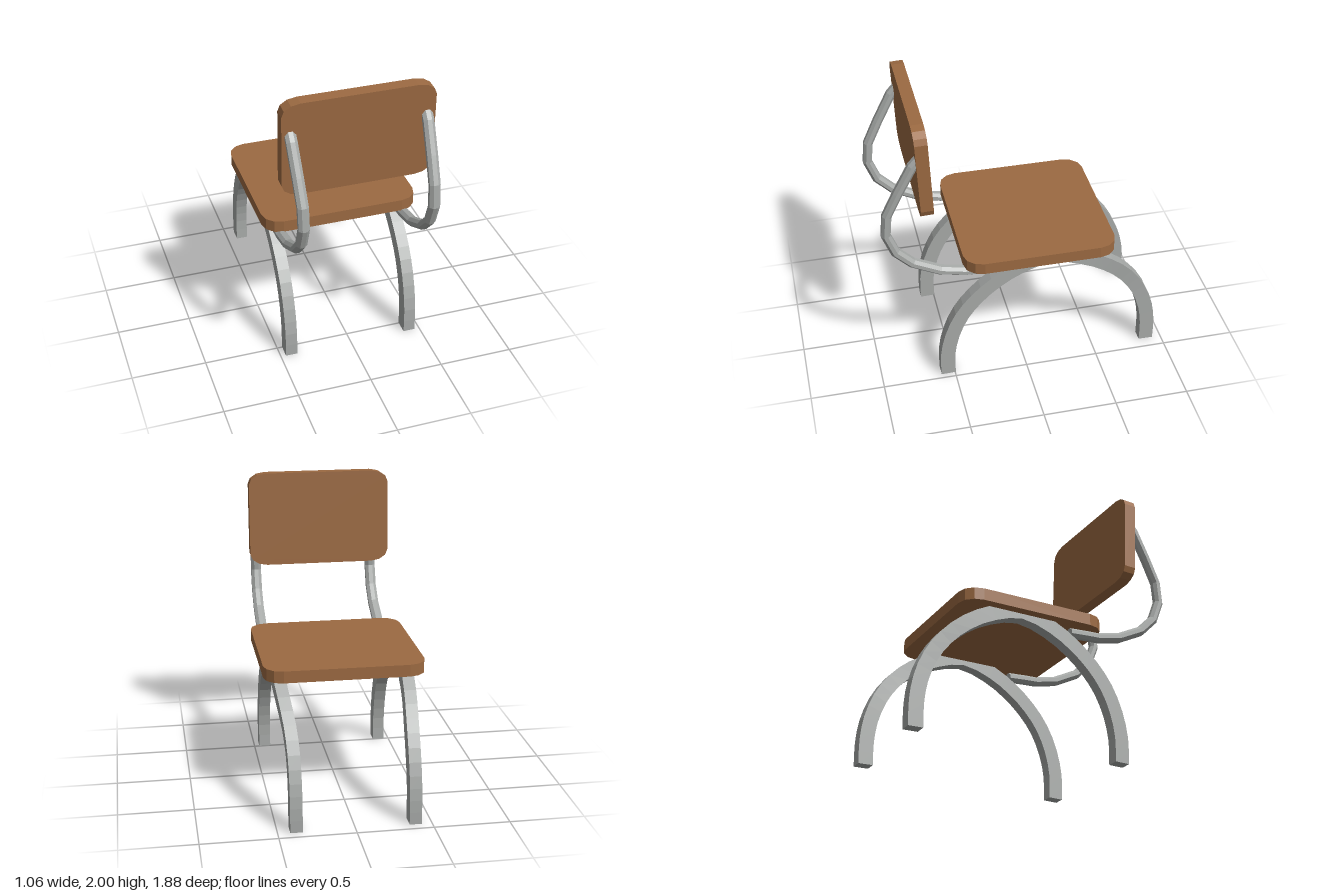
import * as THREE from 'three';

const wood = new THREE.MeshStandardMaterial({ color: 0x9c6a42, flatShading: true });
wood.name = 'wood';
const metal = new THREE.MeshStandardMaterial({ color: 0xa8aba9, flatShading: true });
metal.name = 'grey metal';

// Flat board with faceted rounded corners, centred on the origin, thickness along z
function board(width, height, depth, cornerX, cornerY) {
  const points = [];
  for (let q = 0; q < 4; q++) {
    const sx = q === 0 || q === 3 ? 1 : -1;
    const sy = q < 2 ? 1 : -1;
    for (let i = 0; i <= 3; i++) {
      const a = (q + i / 3) * Math.PI / 2;
      points.push(new THREE.Vector2(
        sx * (width / 2 - cornerX) + cornerX * Math.cos(a),
        sy * (height / 2 - cornerY) + cornerY * Math.sin(a)));
    }
  }
  const geometry = new THREE.ExtrudeGeometry(new THREE.Shape(points), { depth, bevelEnabled: false });
  return geometry.translate(0, 0, -depth / 2);
}

// Polygon bar swept along a path of [x, y, z] vectors, with closed ends
function bar(path, sides, halfWidth, halfHeight) {
  const positions = [], index = [];
  path.forEach((p, i) => {
    const a = path[Math.max(i - 1, 0)], b = path[Math.min(i + 1, path.length - 1)];
    const length = Math.hypot(b.y - a.y, b.z - a.z);
    const ty = (b.y - a.y) / length, tz = (b.z - a.z) / length;
    for (let j = 0; j < sides; j++) {
      const angle = (j + 0.5) / sides * Math.PI * 2;
      const k = 1 / Math.cos(Math.PI / sides);
      const u = Math.cos(angle) * k * halfWidth, v = Math.sin(angle) * k * halfHeight;
      positions.push(p.x + u, p.y + v * tz, p.z - v * ty);
    }
  });
  for (let i = 0; i < path.length - 1; i++) {
    for (let j = 0; j < sides; j++) {
      const a = i * sides + j, b = i * sides + (j + 1) % sides;
      index.push(a, b, b + sides, a, b + sides, a + sides);
    }
  }
  const last = (path.length - 1) * sides;
  for (let j = 1; j < sides - 1; j++) {
    index.push(0, j + 1, j, last, last + j, last + j + 1);
  }
  const geometry = new THREE.BufferGeometry();
  geometry.setAttribute('position', new THREE.Float32BufferAttribute(positions, 3));
  geometry.setIndex(index);
  const flat = geometry.toNonIndexed();
  flat.computeVertexNormals();
  return flat;
}

// Side profiles as [z, y]
const archProfile = [
  [0.545, 0], [0.545, 0.17], [0.51, 0.34], [0.44, 0.5], [0.34, 0.63], [0.21, 0.745],
  [0.04, 0.845], [-0.18, 0.905], [-0.39, 0.85], [-0.57, 0.75], [-0.71, 0.62],
  [-0.81, 0.47], [-0.868, 0.31], [-0.89, 0.16], [-0.89, 0],
];
const supportProfile = [
  [0.19, 0.85], [0.32, 0.858], [0.41, 0.862], [0.57, 0.897], [0.75, 0.987], [0.855, 1.093],
  [0.91, 1.236], [0.897, 1.385], [0.82, 1.55], [0.72, 1.745], [0.675, 1.795],
];

export function createModel() {
  const chair = new THREE.Group();
  chair.name = 'chair';
  const add = (name, geometry, material) => {
    const mesh = new THREE.Mesh(geometry, material);
    mesh.name = name;
    chair.add(mesh);
    return mesh;
  };

  // Seat and slightly tilted backrest
  const seat = add('seat', board(1.06, 1.03, 0.08, 0.12, 0.125), wood);
  seat.rotation.x = -Math.PI / 2;
  seat.position.set(0, 0.93, -0.1);
  const backrest = add('backrest', board(0.99, 0.653, 0.083, 0.12, 0.08), wood);
  backrest.rotation.x = 0.043;
  backrest.position.set(-0.002, 1.672, 0.656);

  for (const side of [1, -1]) {
    const label = side > 0 ? 'left' : 'right';

    // Arched leg, drifting inwards towards its far foot
    const drift = side > 0 ? 0.045 : 0.033;
    const knots = archProfile.map(([z, y]) => new THREE.Vector3(
      side * (0.425 - drift * THREE.MathUtils.smoothstep(-z, 0.4, 0.86)), y, z));
    const curve = new THREE.CatmullRomCurve3(knots);
    add(label + 'LegArch', bar(curve.getPoints(28), 4, 0.04, 0.05), metal);

    // Curved support from under the seat up to the backrest
    const path = supportProfile.map(([z, y]) => new THREE.Vector3(
      side * (0.426 + 0.014 * THREE.MathUtils.smoothstep(y, 1.3, 1.8)), y, z));
    add(label + 'BackSupport', bar(path, 8, 0.036, 0.031), metal);
  }
  return chair;
}
